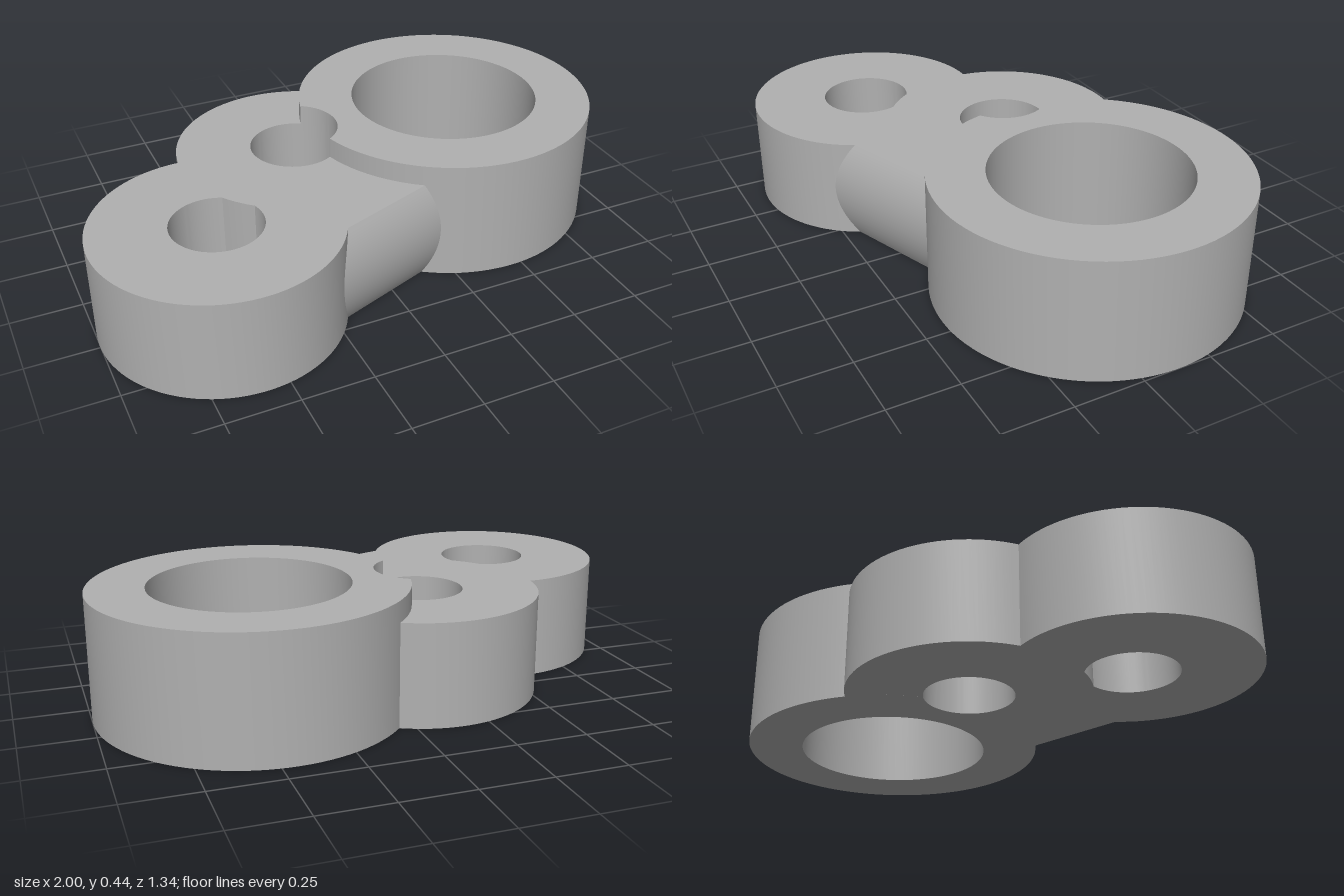
import * as THREE from 'three';
import { toCreasedNormals } from 'three/addons/utils/BufferGeometryUtils.js';

// Plan coordinates: x to the right, y towards the back (y = -z)
const V = (x, y) => new THREE.Vector2(x, y);
const END = V(-0.578, -0.245), MID = V(-0.155, 0.13), BIG = V(0.455, 0.13);
const R_EYE = 0.424, R_PIN = 0.158, R_BIG = 0.545, R_BORE = 0.346;
const H = 0.363, H_BIG = 0.437, R_WEB = 0.362;

// Crossing point of two circles, on the left (+1) or right (-1) of a -> b
function meet(a, ra, b, rb, side) {
  const d = a.distanceTo(b), u = b.clone().sub(a).divideScalar(d);
  const s = (d * d + ra * ra - rb * rb) / (2 * d), h = Math.sqrt(ra * ra - s * s) * side;
  return V(a.x + u.x * s - u.y * h, a.y + u.y * s + u.x * h);
}

// Points along a circle from p to q; dir +1 is counter-clockwise
function arc(c, r, p, q, dir) {
  const full = Math.PI * 2;
  const a0 = Math.atan2(p.y - c.y, p.x - c.x), a1 = Math.atan2(q.y - c.y, q.x - c.x);
  const sweep = (((a1 - a0) * dir) % full + full) % full;
  const n = Math.max(4, Math.ceil(sweep / full * 96)), pts = [];
  for (let i = 0; i <= n; i++) {
    const a = a0 + dir * sweep * i / n;
    pts.push(V(c.x + r * Math.cos(a), c.y + r * Math.sin(a)));
  }
  return pts;
}

// Joins arcs into one closed loop without repeated points
function loop(...arcs) {
  const pts = arcs.flat();
  return pts.filter((p, i) => p.distanceTo(pts[(i + 1) % pts.length]) > 1e-5);
}

function slab(name, outline, hole, height, material) {
  const shape = new THREE.Shape(outline);
  shape.holes.push(new THREE.Path(hole));
  const geo = new THREE.ExtrudeGeometry(shape, { depth: height, bevelEnabled: false });
  geo.rotateX(-Math.PI / 2);
  const mesh = new THREE.Mesh(toCreasedNormals(geo, 0.5), material);
  mesh.name = name;
  return mesh;
}

export function createModel() {
  const group = new THREE.Group();
  group.name = 'linkBracket';
  const grey = new THREE.MeshStandardMaterial({ color: 0xb0b0b0 });
  grey.name = 'plainGrey';

  // Web axis runs from the end eye to the large ring
  const span = END.distanceTo(BIG);
  const u = BIG.clone().sub(END).divideScalar(span);
  const along = (s, o) => V(END.x + u.x * s + u.y * o, END.y + u.y * s - u.x * o);
  const webStart = o => along(Math.sqrt(R_EYE * R_EYE - o * o), o);
  const webEnd = o => along(span - Math.sqrt(R_BIG * R_BIG - o * o), o);
  const edge = Math.sqrt(R_WEB * R_WEB - H * H / 4);

  const notchFront = meet(MID, R_PIN, BIG, R_BIG, -1);
  const notchBack = meet(MID, R_PIN, BIG, R_BIG, 1);
  const midBig = meet(MID, R_EYE, BIG, R_BIG, 1);
  const endMid = meet(END, R_EYE, MID, R_EYE, 1);

  // Lower plate with both eyes; the middle eye bulges slightly into the end hole
  const plate = loop(
    arc(BIG, R_BIG, webEnd(edge), notchFront, -1),
    arc(MID, R_PIN, notchFront, notchBack, -1),
    arc(BIG, R_BIG, notchBack, midBig, -1),
    arc(MID, R_EYE, midBig, endMid, 1),
    arc(END, R_EYE, endMid, webStart(edge), 1)
  );
  const biteBack = meet(END, R_PIN, MID, R_EYE, 1);
  const biteFront = meet(END, R_PIN, MID, R_EYE, -1);
  const endHole = loop(
    arc(END, R_PIN, biteBack, biteFront, 1),
    arc(MID, R_EYE, biteFront, biteBack, -1)
  );
  group.add(slab('eyePlate', plate, endHole, H, grey));

  // Tall ring, notched where the middle hole cuts its wall
  const ring = loop(
    arc(BIG, R_BIG, notchFront, notchBack, 1),
    arc(MID, R_PIN, notchBack, notchFront, -1)
  );
  const right = V(BIG.x + R_BORE, BIG.y), left = V(BIG.x - R_BORE, BIG.y);
  const bore = loop(arc(BIG, R_BORE, right, left, 1), arc(BIG, R_BORE, left, right, 1));
  group.add(slab('largeRing', ring, bore, H_BIG, grey));

  // Rounded front face of the web, trimmed by the eye and the ring
  const pos = [], idx = [], rows = 24, half = Math.asin(H / 2 / R_WEB);
  for (let i = 0; i <= rows; i++) {
    const a = half * (2 * i / rows - 1), o = R_WEB * Math.cos(a), y = H / 2 + R_WEB * Math.sin(a);
    const p = webStart(o), q = webEnd(o);
    pos.push(p.x, y, -p.y, q.x, y, -q.y);
    if (i < rows) {
      const k = i * 2;
      idx.push(k, k + 1, k + 3, k, k + 3, k + 2);
    }
  }
  const geo = new THREE.BufferGeometry();
  geo.setAttribute('position', new THREE.Float32BufferAttribute(pos, 3));
  geo.setIndex(idx);
  geo.computeVertexNormals();
  const web = new THREE.Mesh(geo, grey);
  web.name = 'roundedWeb';
  group.add(web);

  return group;
}
